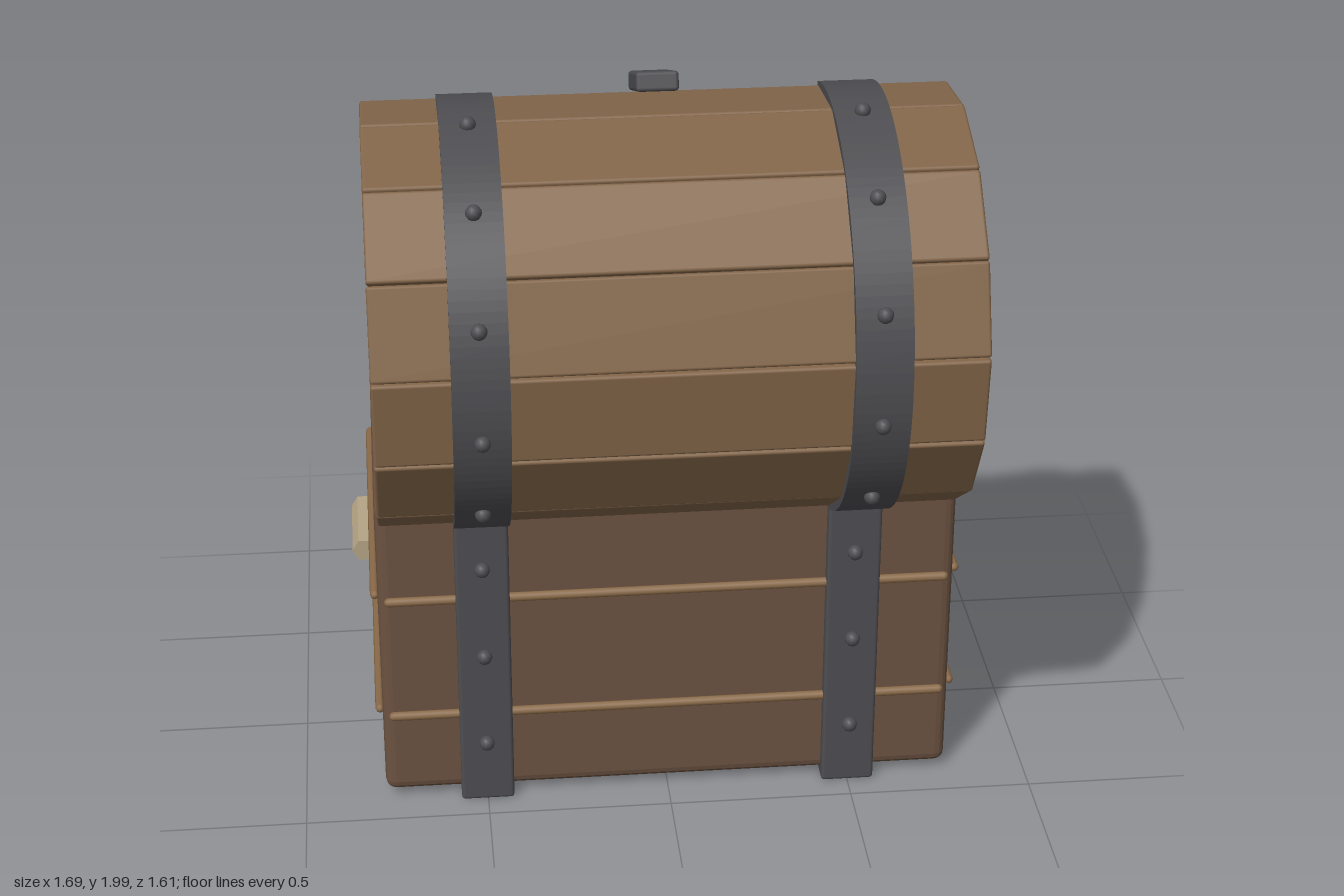
import * as THREE from 'three';
import { RoundedBoxGeometry } from 'three/addons/geometries/RoundedBoxGeometry.js';
import { ConvexGeometry } from 'three/addons/geometries/ConvexGeometry.js';

const mat = (color, flatShading = false, side = THREE.FrontSide) =>
  new THREE.MeshStandardMaterial({ color, flatShading, side });

export function createModel() {
  const model = new THREE.Group();
  const wood = mat(0x6b5241), plankWood = mat(0x826549), trimWood = mat(0x8a6a48);
  const iron = mat(0x4e4e52), bone = mat(0xb5a485, true);
  const gold = mat(0xd8b954), coinGold = mat(0xcfb052, true);

  let seed = 7;
  const rand = () => (seed = (seed * 16807) % 2147483647) / 2147483647;
  const jitter = (a) => (rand() * 2 - 1) * a;

  const add = (name, geometry, material, x = 0, y = 0, z = 0, parent = model) => {
    const mesh = new THREE.Mesh(geometry, material);
    mesh.name = name;
    mesh.position.set(x, y, z);
    parent.add(mesh);
    return mesh;
  };
  const box = (w, h, d, r = 0.01) => new RoundedBoxGeometry(w, h, d, 2, r);
  // Extrudes a (z, y) outline along x, centred on x = 0
  const extrudeX = (shape, width) =>
    new THREE.ExtrudeGeometry(shape, { depth: width, bevelEnabled: false, curveSegments: 32 })
      .translate(0, 0, -width / 2).rotateY(-Math.PI / 2);

  // Chest body: rounded box with one bottom corner cut away
  const cut = [[0.78, 0.28, -0.63], [0.78, 0.03, -0.46], [0.57, 0.03, -0.63]]
    .map((p) => new THREE.Vector3(...p));
  const plane = new THREE.Plane().setFromCoplanarPoints(...cut);
  if (plane.distanceToPoint(new THREE.Vector3(0, 0.5, 0)) > 0) plane.negate();
  const shell = box(1.56, 0.9, 1.03, 0.03).translate(0, 0.48, -0.115);
  const corners = [];
  for (let i = 0; i < shell.attributes.position.count; i++) {
    const p = new THREE.Vector3().fromBufferAttribute(shell.attributes.position, i);
    if (plane.distanceToPoint(p) < 0) corners.push(p);
  }
  add('chestBody', new ConvexGeometry([...corners, ...cut]), wood);

  // Thin trim rods around the body
  const rod = (length) => new THREE.CapsuleGeometry(0.013, length, 3, 8);
  for (const y of [0.28, 0.64]) {
    for (const s of [-1, 1]) {
      add('sideTrim', rod(0.95), trimWood, s * 0.787, y, -0.115).rotation.x = Math.PI / 2;
      add('longTrim', rod(1.5), trimWood, 0, y, -0.115 + s * 0.522).rotation.z = Math.PI / 2;
    }
  }

  // Iron bands, rivets and side handles
  const rivet = new THREE.SphereGeometry(0.021, 10, 8);
  for (const s of [-1, 1]) {
    add('bodyBand', box(0.145, 0.93, 1.085), iron, s * 0.5, 0.475, -0.1125);
    for (const y of [0.2, 0.475, 0.745]) {
      for (const z of [0.44, -0.665]) add('bodyRivet', rivet, iron, s * 0.5, y, z);
    }
    const handle = new THREE.CylinderGeometry(0.034, 0.034, 0.26, 6)
      .rotateX(Math.PI / 2).rotateZ(Math.PI / 2);
    add('sideHandle', handle, bone, s * 0.812, 0.583, -0.112);
  }

  // Open lid: half-round core, planks and straps about a common axis
  const lid = new THREE.Group();
  lid.name = 'lid';
  lid.position.set(0, 1.405, 0.225);
  model.add(lid);
  const deg = Math.PI / 180, a0 = -70 * deg, a1 = 110 * deg;
  const core = new THREE.Shape();
  core.absarc(0, 0, 0.51, a0, a1, false);
  core.closePath();
  add('lidCore', extrudeX(core, 1.52), wood, 0, 0, 0, lid);

  const planks = 7;
  for (let i = 0; i < planks; i++) {
    const a = a0 + (a1 - a0) * (i + 0.5) / planks;
    const plank = add('lidPlank', box(1.54, 0.026, 0.24, 0.008), plankWood,
      0, 0.53 * Math.sin(a), 0.53 * Math.cos(a), lid);
    plank.rotation.set(Math.PI / 2 - a + jitter(0.02), jitter(0.004), 0);
  }

  const strap = new THREE.Shape();
  strap.absarc(0, 0, 0.567, a0 - 0.03, a1, false);
  strap.absarc(0, 0, 0.535, a1, a0 - 0.03, true);
  strap.closePath();
  for (const x of [-0.5, 0.5]) {
    add('lidStrap', extrudeX(strap, 0.145), iron, x, 0, 0, lid);
    for (const d of [80, 50, 20, -10, -40]) {
      add('lidRivet', rivet, iron, x, 0.572 * Math.sin(d * deg), 0.572 * Math.cos(d * deg), lid);
    }
  }
  add('hasp', box(0.112, 0.052, 0.25), iron, 0, 1.935, -0.02).rotation.x = -0.35;

  // Lock plate and padlock
  add('lockPlate', box(0.27, 0.34, 0.065), gold, 0, 0.75, -0.654);
  add('padlockRing', new THREE.TorusGeometry(0.05, 0.013, 8, 24), iron, 0, 0.622, -0.74)
    .rotation.y = Math.PI / 2;
  add('padlockBody', box(0.15, 0.115, 0.056, 0.02), iron, 0, 0.546, -0.736);

  // Gold mound
  const cx = -0.01, cz = -0.13, rx = 0.58, rz = 0.46, rise = 0.245;
  const height = (u) => rise * Math.pow(Math.max(0, 1 - u * u), 0.75);
  const profile = [1, 0.92, 0.75, 0.5, 0.25, 0].map((u) => new THREE.Vector2(u, height(u)));
  add('goldMound', new THREE.LatheGeometry(profile, 11).scale(rx, 1, rz),
    mat(0xd8b954, true, THREE.DoubleSide), cx, 0.93, cz);

  // Coins lying on the mound, spread by the golden angle
  const coin = new THREE.CylinderGeometry(0.045, 0.045, 0.013, 6);
  const up = new THREE.Vector3(0, 1, 0);
  const count = 290;
  for (let i = 0; i < count; i++) {
    const u = Math.sqrt((i + 0.5) / count) * 1.02, t = i * 2.39996 + jitter(0.15);
    const slope = (height(u - 0.03) - height(u + 0.03)) / 0.06;
    const normal = new THREE.Vector3(Math.cos(t) * slope / rx + jitter(0.3), 1,
      Math.sin(t) * slope / rz + jitter(0.3)).normalize();
    const c = add('coin', coin, coinGold, cx + rx * u * Math.cos(t),
      0.945 + height(u) + jitter(0.008), cz + rz * u * Math.sin(t));
    c.quaternion.setFromUnitVectors(up, normal);
    c.rotateY(rand() * 6);
  }
  // Loose coins on the rim and on the floor
  const loose = [[-0.68, 0.94, -0.13], [0.68, 0.94, -0.03], [0.71, 0.94, -0.17], [0.65, 0.94, -0.3],
    [0.62, 0.945, -0.33], [-0.2, 0.94, -0.59], [0.08, 0.94, -0.6], [-0.44, 0.02, -0.735],
    [-0.15, 0.02, -0.735], [-0.07, 0.025, -0.73], [0.07, 0.02, -0.735], [0.59, 0.02, -0.735]];
  for (const p of loose) add('looseCoin', coin, coinGold, ...p).rotation.set(jitter(0.12), rand() * 6, 0);

  // Goblet standing in the gold
  const goblet = [[0, 0], [0.065, 0], [0.06, 0.015], [0.025, 0.04], [0.018, 0.08], [0.025, 0.115],
    [0.055, 0.135], [0.073, 0.17], [0.08, 0.21], [0.088, 0.255], [0.078, 0.255], [0.068, 0.2],
    [0.045, 0.155], [0, 0.14]].map(([r, y]) => new THREE.Vector2(r, y));
  add('goblet', new THREE.LatheGeometry(goblet, 24), mat(0xcfb052, false, THREE.DoubleSide),
    0.54, 1.04, -0.115);

  return model;
}
